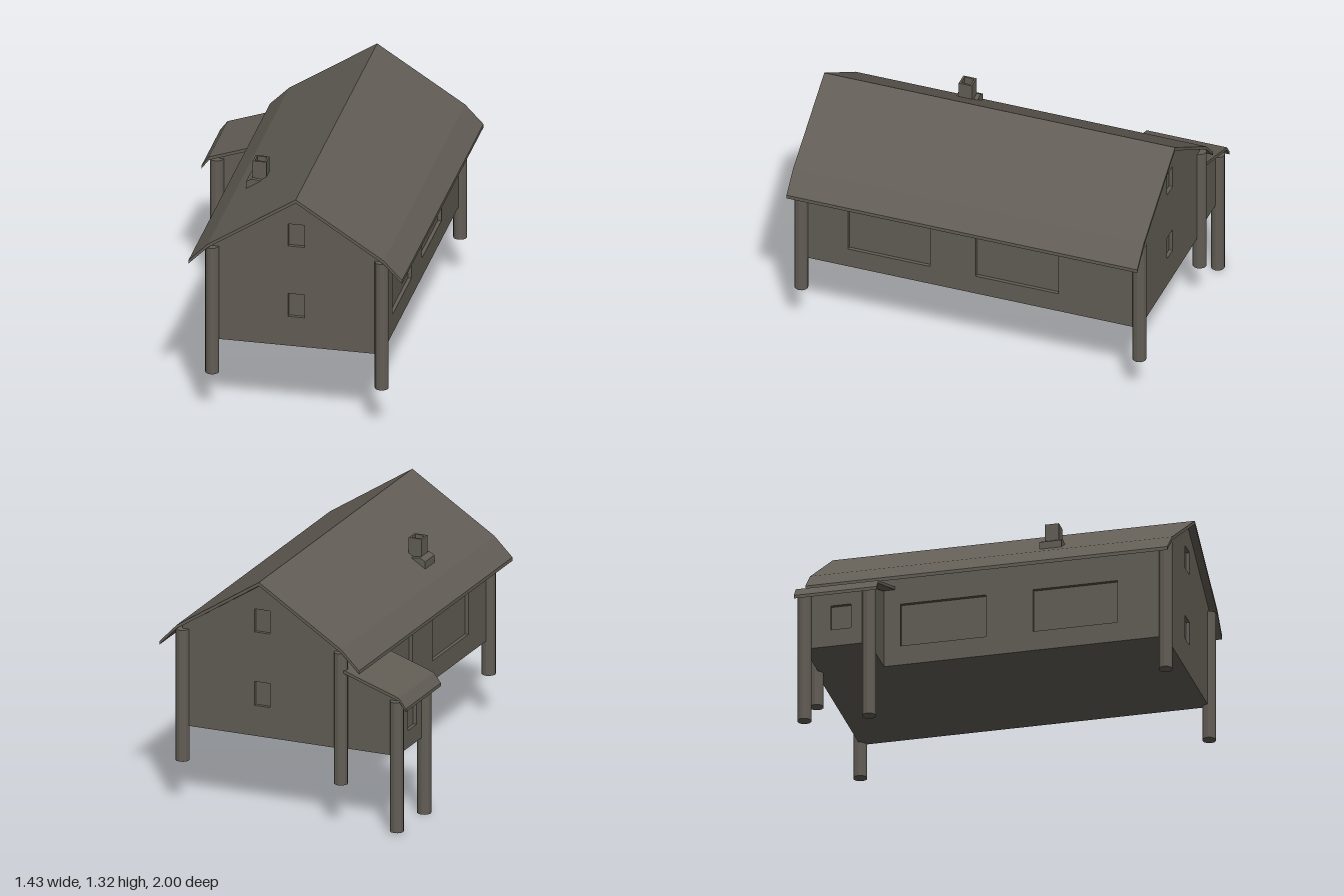
import * as THREE from 'three';

const timber = new THREE.MeshStandardMaterial({ color: 0x625d55, flatShading: true });
timber.name = 'weathered timber';

const T = 0.02; // wall panel thickness, also the window recess
const FLOOR = 0.433;

function polygon(points) {
  return new THREE.Shape(points.map(([x, y]) => new THREE.Vector2(x, y)));
}

function rect(x0, x1, y0, y1) {
  return [[x0, y0], [x1, y0], [x1, y1], [x0, y1]];
}

function mesh(name, geometry, parent) {
  const m = new THREE.Mesh(geometry, timber);
  m.name = name;
  parent.add(m);
  return m;
}

// Outline in x/y run from z0 to z1, with optional rectangular openings
function prism(name, points, z0, z1, parent, holes = []) {
  const shape = polygon(points);
  holes.forEach(h => shape.holes.push(polygon(rect(...h))));
  const g = new THREE.ExtrudeGeometry(shape, { depth: z1 - z0, bevelEnabled: false });
  g.translate(0, 0, z0);
  return mesh(name, g, parent);
}

// Roof section: a top line given a constant vertical thickness
function roof(name, line, thick, z0, z1, parent) {
  const under = line.map(([x, y]) => [x, y - thick]).reverse();
  return prism(name, [...line, ...under], z0, z1, parent);
}

function post(name, x, z, y0, y1, parent) {
  const g = new THREE.CylinderGeometry(0.038, 0.038, y1 - y0, 12);
  g.translate(x, (y0 + y1) / 2, z);
  return mesh(name, g, parent);
}

// Flip an x/y outline or opening for panels turned to face the other way
const flip = pts => pts.map(([x, y]) => [-x, y]);
const flipRect = ([a, b, c, d]) => [-b, -a, c, d];

function createMainHouse() {
  const house = new THREE.Group();
  house.name = 'mainHouse';
  const L = -0.33, R = 0.595, Z = 0.96, ridge = 0.135;
  const gable = [[L, FLOOR], [R, FLOOR], [R, 0.995], [ridge, 1.29], [L, 0.99]];
  const inner = [[L + T, FLOOR], [R - T, FLOOR], [R - T, 0.995], [ridge, 1.285], [L + T, 0.99]];

  // Solid core, seen at the back of each window recess
  prism('core', inner, -Z + T, Z - T, house);

  // Gable walls with two small windows each
  const small = [[0.085, 0.175, 0.605, 0.74], [0.085, 0.175, 1.02, 1.15]];
  prism('frontWall', gable, Z - T, Z, house, small);
  prism('backWall', flip(gable).reverse(), Z - T, Z, house, small.map(flipRect))
    .rotation.y = Math.PI;

  // Long walls with two large windows each
  const large = [[0.23, 0.695, 0.545, 0.79], [-0.5, -0.03, 0.545, 0.79]];
  const side = rect(-Z, Z, FLOOR, 0.985);
  prism('leftWall', side, R - T, R, house, large.map(flipRect)).rotation.y = Math.PI / 2;
  prism('rightWall', side, -L - T, -L, house, large).rotation.y = -Math.PI / 2;

  // Roof with flared eaves
  roof('mainRoof', [[-0.45, 0.9], [-0.345, 1.005], [ridge, 1.315], [0.615, 1.005], [0.715, 0.9]],
    0.02, -0.992, 1.0, house);

  // Corner posts
  for (const x of [L, R]) for (const z of [-Z, Z]) post('cornerPost', x, z, 0.238, 0.98, house);
  return house;
}

function createAnnex() {
  const annex = new THREE.Group();
  annex.name = 'annex';
  const X = -0.65, IN = -0.32, Z0 = -0.945, Z1 = -0.59;
  prism('annexBody', [[X + T, FLOOR], [IN, FLOOR], [IN, 0.88], [X + T, 0.77]], Z0, Z1, annex);
  prism('annexOuterWall', rect(Z0, Z1, FLOOR, 0.764), -X - T, -X, annex, [[-0.8, -0.69, 0.53, 0.67]])
    .rotation.y = -Math.PI / 2;
  roof('annexRoof', [[-0.72, 0.722], [-0.68, 0.776], [IN, 0.9]], 0.018, -0.985, -0.53, annex);
  post('annexBackPost', X, Z0, 0.01, 0.745, annex);
  post('annexFrontPost', X, Z1, 0, 0.745, annex);
  return annex;
}

function createChimney() {
  const chimney = new THREE.Group();
  chimney.name = 'chimney';
  // Hollow stack
  const stack = polygon(rect(-0.245, -0.17, -0.35, -0.275));
  stack.holes.push(polygon(rect(-0.234, -0.181, -0.339, -0.286)));
  const g = new THREE.ExtrudeGeometry(stack, { depth: 0.165, bevelEnabled: false });
  g.rotateX(-Math.PI / 2).translate(0, 1.04, 0);
  mesh('stack', g, chimney);
  // Stepped foot with a sloping shoulder
  prism('foot', [[-0.277, 1.03], [-0.19, 1.03], [-0.19, 1.1], [-0.245, 1.108], [-0.277, 1.09]],
    0.252, 0.372, chimney);
  return chimney;
}

export function createModel() {
  const model = new THREE.Group();
  model.name = 'stiltHouse';
  model.add(createMainHouse(), createAnnex(), createChimney());
  return model;
}
